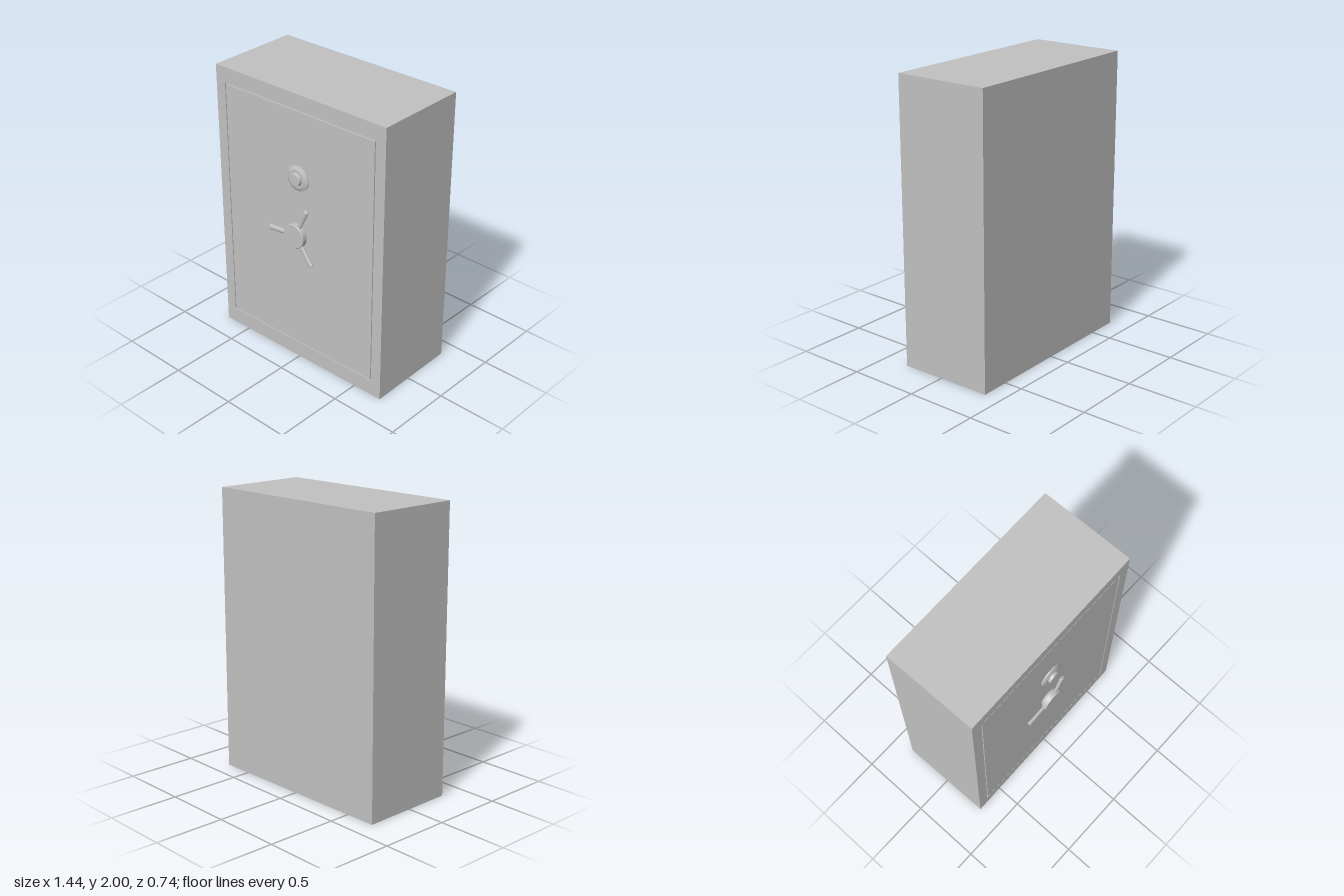
import * as THREE from 'three';

const steel = new THREE.MeshStandardMaterial({ color: 0xc0c0c0 });
steel.name = 'steel grey';

const W = 1.432, H = 2, D = 0.677; // cabinet size
const FRONT = D / 2;
const RECESS = 0.012; // depth of the groove around the door
const GAP = 0.007;

function add(parent, name, geometry, x = 0, y = 0, z = 0) {
  const mesh = new THREE.Mesh(geometry, steel);
  mesh.name = name;
  mesh.position.set(x, y, z);
  parent.add(mesh);
  return mesh;
}

function rect(PathType, x0, y0, x1, y1) {
  return new PathType([[x0, y0], [x1, y0], [x1, y1], [x0, y1]].map(p => new THREE.Vector2(...p)));
}

// Turned part standing out from the door; each pair of points is its own sharp-edged band
function turned(parent, name, profile, x, y) {
  const group = new THREE.Group();
  group.name = name;
  group.position.set(x, y, FRONT);
  for (let i = 0; i < profile.length - 1; i++) {
    const pts = [profile[i], profile[i + 1]].map(p => new THREE.Vector2(...p));
    add(group, name + 'Band', new THREE.LatheGeometry(pts, 40).rotateX(Math.PI / 2));
  }
  parent.add(group);
  return group;
}

export function createModel() {
  const safe = new THREE.Group();
  safe.name = 'safe';

  // Cabinet and the raised frame around the door
  add(safe, 'cabinet', new THREE.BoxGeometry(W, H, D - RECESS), 0, H / 2, -RECESS / 2);
  const frame = rect(THREE.Shape, -W / 2, 0, W / 2, H);
  frame.holes.push(rect(THREE.Path, -0.638, 0.114, 0.638, 1.89));
  add(safe, 'doorFrame', new THREE.ExtrudeGeometry(frame, { depth: RECESS, bevelEnabled: false }),
    0, 0, FRONT - RECESS);

  // Door, flush with the frame and separated by a thin groove
  add(safe, 'door', new THREE.BoxGeometry(1.276 - 2 * GAP, 1.776 - 2 * GAP, RECESS),
    0, 1.002, FRONT - RECESS / 2);

  // Combination dial: sloping flange with a raised knob
  turned(safe, 'combinationDial', [
    [0.09, 0], [0.09, 0.008], [0.065, 0.019], [0.047, 0.019],
    [0.044, 0.037], [0.04, 0.039], [0, 0.039],
  ], 0.005, 1.414);

  // Handle: round hub with three flattened, flaring spokes
  const handle = turned(safe, 'handleHub', [
    [0.07, 0], [0.074, 0.014], [0.086, 0.016], [0.086, 0.049], [0.083, 0.052], [0, 0.052],
  ], 0.001, 1.0);
  for (let i = 0; i < 3; i++) {
    const spoke = new THREE.Group();
    spoke.name = 'handleSpoke';
    spoke.rotation.z = THREE.MathUtils.degToRad(65.5 + 120 * i - 90);
    const bar = add(spoke, 'spokeBar', new THREE.CylinderGeometry(0.0205, 0.016, 0.165, 20), 0, 0.147, 0.03);
    const tip = add(spoke, 'spokeTip', new THREE.CylinderGeometry(0.0165, 0.0205, 0.005, 20), 0, 0.232, 0.03);
    bar.scale.z = tip.scale.z = 0.65;
    handle.add(spoke);
  }

  // The safe stands turned very slightly
  safe.rotation.y = 0.016;
  safe.position.set(0.001, 0, -0.023);
  const model = new THREE.Group();
  model.name = 'model';
  model.add(safe);
  return model;
}
